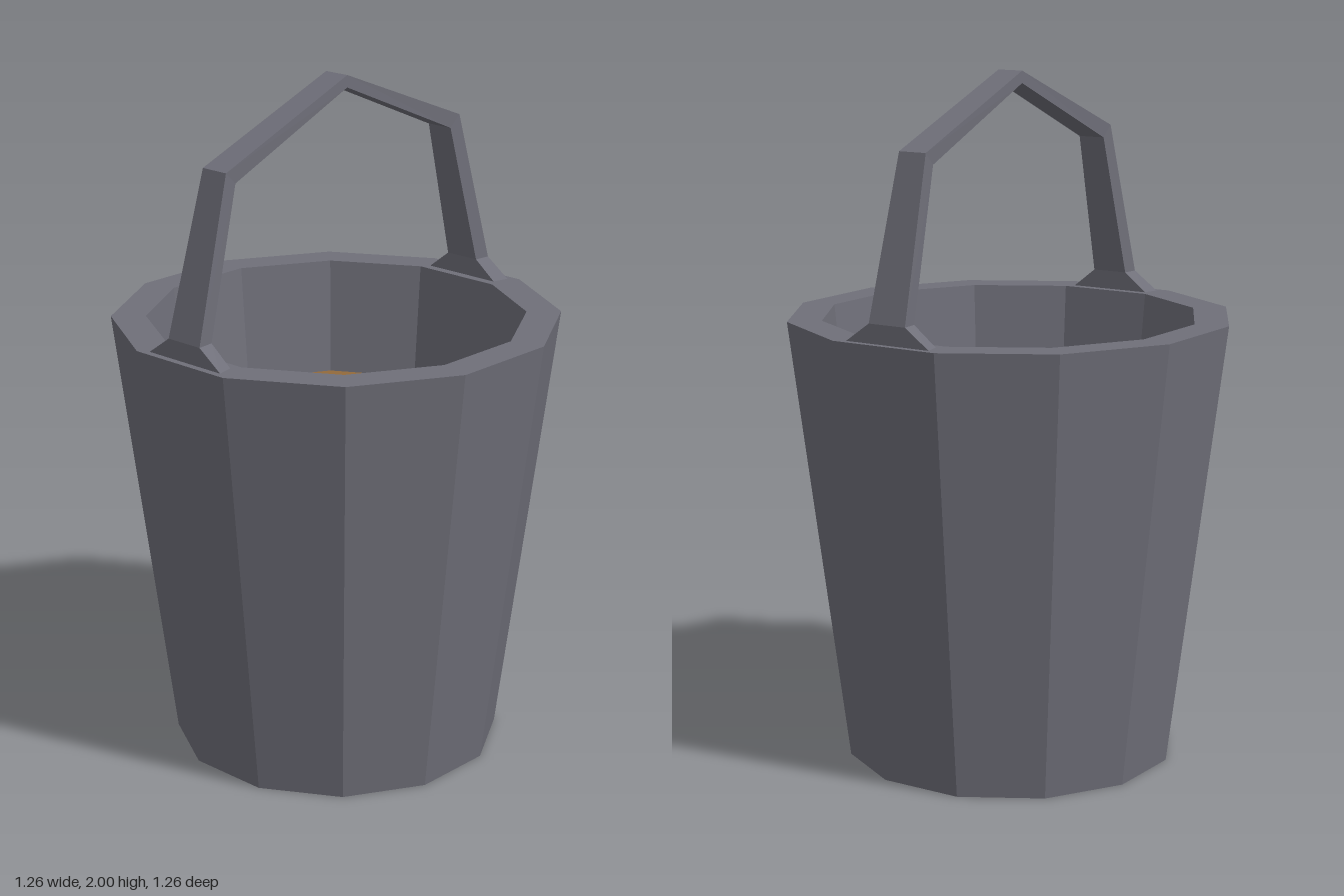
import * as THREE from 'three';

const SIDES = 12;

// Closed four-sided bar through a list of sections, each an array of four corners
function barGeometry(sections) {
  const pos = [];
  for (let i = 0; i < sections.length - 1; i++) {
    const s = sections[i], t = sections[i + 1];
    for (let k = 0; k < 4; k++) {
      const n = (k + 1) % 4;
      pos.push(...s[k], ...s[n], ...t[n], ...s[k], ...t[n], ...t[k]);
    }
  }
  const geo = new THREE.BufferGeometry();
  geo.setAttribute('position', new THREE.Float32BufferAttribute(pos, 3));
  geo.computeVertexNormals();
  return geo;
}

export function createModel() {
  const metal = new THREE.MeshStandardMaterial({ color: 0x6f6f79, flatShading: true });
  metal.name = 'greyMetal';
  const brown = new THREE.MeshStandardMaterial({ color: 0x936a3b, flatShading: true });
  brown.name = 'brownFilling';

  const group = new THREE.Group();
  group.name = 'bucket';
  const add = (name, geo, mat) => {
    const mesh = new THREE.Mesh(geo, mat);
    mesh.name = name;
    group.add(mesh);
    return mesh;
  };

  // Tapered twelve-sided body: floor, outer wall, rim, inner wall
  const profile = [[0, 0], [0.48, 0], [0.647, 1.3], [0.547, 1.3], [0.512, 0.955]]
    .map(([r, y]) => new THREE.Vector2(r, y));
  const body = new THREE.LatheGeometry(profile, SIDES, Math.PI / SIDES).toNonIndexed();
  body.computeVertexNormals();
  add('body', body, metal);

  // Filling surface inside the body
  const surface = new THREE.CircleGeometry(0.512, SIDES, Math.PI / SIDES);
  surface.rotateX(-Math.PI / 2);
  add('filling', surface, brown).position.y = 0.955;

  // Angular handle with flared feet: outer z, outer y, inner z, inner y, outer and inner half width
  const half = [
    [0.605, 1.3, 0.555, 1.3, 0.137, 0.125],
    [0.605, 1.355, 0.555, 1.355, 0.06, 0.055],
    [0.48, 1.81, 0.443, 1.775, 0.044, 0.042],
    [0, 2, 0, 1.965, 0.04, 0.04],
  ];
  const section = (dir) => ([zo, yo, zi, yi, wo, wi]) => [
    [wo, yo, dir * zo], [-wo, yo, dir * zo], [-wi, yi, dir * zi], [wi, yi, dir * zi],
  ];
  const sections = [
    ...half.map(section(-1)),
    ...half.slice(0, -1).reverse().map(section(1)),
  ];
  add('handle', barGeometry(sections), metal);

  // Slight turn of the whole bucket
  group.rotation.y = -0.021;
  return group;
}
